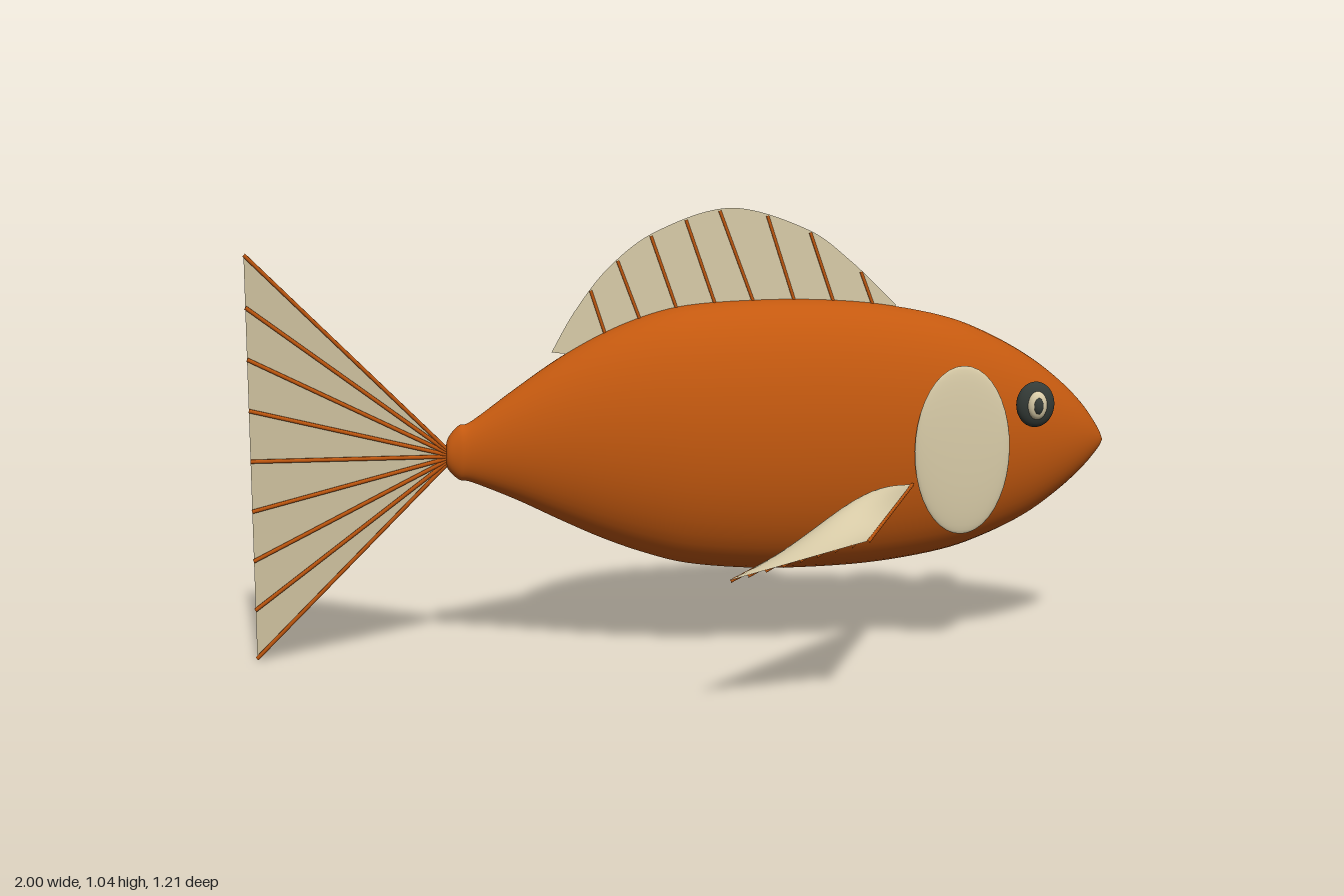
import * as THREE from 'three';

const orange = new THREE.MeshStandardMaterial({ name: 'orange', color: 0xc4590f });
const cream = new THREE.MeshStandardMaterial({ name: 'cream', color: 0xd9cca8, side: THREE.DoubleSide });
const charcoal = new THREE.MeshStandardMaterial({ name: 'charcoal', color: 0x343b37 });

const V = (x, y, z) => new THREE.Vector3(x, y, z);

function addMesh(parent, name, geometry, material) {
  const mesh = new THREE.Mesh(geometry, material);
  mesh.name = name;
  parent.add(mesh);
  return mesh;
}

// Surface from a grid of points; point(u, v) with v optionally wrapping round
function grid(rows, cols, point, wrap) {
  const pos = [], index = [];
  const n = wrap ? cols : cols + 1;
  for (let i = 0; i <= rows; i++)
    for (let j = 0; j < n; j++) pos.push(...point(i / rows, j / cols).toArray());
  for (let i = 0; i < rows; i++)
    for (let j = 0; j < cols; j++) {
      const k = (j + 1) % n;
      const a = i * n + j, b = i * n + k, c = a + n, d = b + n;
      index.push(a, b, c, b, d, c);
    }
  const g = new THREE.BufferGeometry();
  g.setAttribute('position', new THREE.Float32BufferAttribute(pos, 3));
  g.setIndex(index);
  g.computeVertexNormals();
  return g;
}

// Thin rod between two points
function ray(parent, a, b, r) {
  addMesh(parent, 'finRay', new THREE.TubeGeometry(new THREE.LineCurve3(a, b), 1, r, 6), orange);
}

function ellipsoid(parent, name, material, center, radii) {
  const mesh = addMesh(parent, name, new THREE.SphereGeometry(1, 32, 20), material);
  mesh.position.copy(center);
  mesh.scale.copy(radii);
}

// Body lofted from ellipses: x, top, bottom, half width
function bodyGeometry() {
  const sections = [
    [-0.56, 0.485, 0.475, 0.003], [-0.555, 0.52, 0.45, 0.02], [-0.53, 0.55, 0.425, 0.03],
    [-0.5, 0.56, 0.418, 0.036], [-0.4, 0.632, 0.375, 0.065], [-0.3, 0.7, 0.325, 0.092],
    [-0.2, 0.755, 0.278, 0.116], [-0.1, 0.795, 0.24, 0.134], [0, 0.818, 0.213, 0.145],
    [0.15, 0.827, 0.197, 0.15], [0.3, 0.826, 0.195, 0.149], [0.45, 0.813, 0.203, 0.145],
    [0.6, 0.783, 0.226, 0.135], [0.7, 0.745, 0.257, 0.122], [0.8, 0.69, 0.303, 0.102],
    [0.88, 0.63, 0.358, 0.077], [0.94, 0.57, 0.41, 0.05], [0.98, 0.513, 0.455, 0.023],
    [0.995, 0.482, 0.478, 0.002]];
  const outline = new THREE.CatmullRomCurve3(sections.map(s => V(s[0], s[1], s[2])), false, 'catmullrom');
  const width = new THREE.CatmullRomCurve3(sections.map(s => V(s[0], s[3], 0)), false, 'catmullrom');
  return grid(90, 48, (u, v) => {
    const o = outline.getPoint(u), w = width.getPoint(u).y, a = v * Math.PI * 2;
    return V(o.x, (o.y + o.z) / 2 + (o.y - o.z) / 2 * Math.cos(a), w * Math.sin(a));
  }, true);
}

// Upright back fin with slanted rays
function dorsalFin() {
  const g = new THREE.Group();
  g.name = 'dorsalFin';
  const top = new THREE.SplineCurve([[-0.315, 0.715], [-0.26, 0.81], [-0.18, 0.91], [-0.07, 0.99], [0.1, 1.04],
    [0.275, 0.99], [0.38, 0.915], [0.49, 0.81]].map(p => new THREE.Vector2(...p)));
  const edge = top.getPoints(80);
  const shape = new THREE.Shape([...edge, new THREE.Vector2(0.4, 0.7), new THREE.Vector2(-0.2, 0.7)]);
  addMesh(g, 'dorsalWeb', new THREE.ShapeGeometry(shape), cream);
  const slope = 0.37;
  for (let i = 0; i < 8; i++) {
    // each ray ends where its slanted line meets the fin edge
    const foot = -0.19 + i * 0.0925;
    const end = edge.find(p => p.x + slope * (p.y - 0.75) >= foot);
    ray(g, V(foot, 0.75, 0), V(end.x, end.y - 0.004, 0), 0.004);
  }
  return g;
}

// Slightly twisted tail fan
function tailFin() {
  const g = new THREE.Group();
  g.name = 'tailFin';
  const root = V(-0.54, 0.48, 0);
  const tip = t => V(-1, 0.005 + 0.95 * t, 0.06 * (2 * t - 1));
  addMesh(g, 'tailWeb', grid(1, 8, (u, v) => root.clone().lerp(tip(v), u)), cream);
  for (let i = 0; i <= 8; i++) {
    const end = tip(i / 8);
    end.z += 0.004;
    ray(g, root.clone().add(V(0, 0, 0.004)), end, 0.005);
  }
  return g;
}

// Side fin: arched web over a fan of straight rays
function pectoralFin(side) {
  const g = new THREE.Group();
  g.name = side > 0 ? 'leftPectoralFin' : 'rightPectoralFin';
  const root = V(0.5, 0.412, 0.145 * side);
  const tip = t => V(0.295 * t, 0.31 + 0.075 * t, 0.6 * side);
  addMesh(g, 'pectoralWeb', grid(16, 16, (u, v) => {
    const p = root.clone().lerp(tip(v), u);
    p.y += 0.05 * Math.sin(Math.PI * u) * Math.sin(Math.PI * v);
    return p;
  }), cream);
  for (let i = 0; i <= 8; i++) {
    const end = tip(i / 8);
    end.y -= 0.003;
    ray(g, root, end, 0.004);
  }
  return g;
}

export function createModel() {
  const fish = new THREE.Group();
  fish.name = 'fish';
  addMesh(fish, 'body', bodyGeometry(), orange);
  fish.add(dorsalFin(), tailFin());
  for (const side of [1, -1]) {
    fish.add(pectoralFin(side));
    // Gill cover
    ellipsoid(fish, 'gillCover', cream, V(0.615, 0.49, 0.15 * side), V(0.112, 0.196, 0.014));
    // Eye: dark ball, pale iris, dark pupil
    const eye = new THREE.Group();
    eye.name = side > 0 ? 'leftEye' : 'rightEye';
    ellipsoid(eye, 'eyeball', charcoal, V(0.79, 0.59, 0.134 * side), V(0.045, 0.053, 0.022));
    ellipsoid(eye, 'iris', cream, V(0.79, 0.59, 0.15 * side), V(0.023, 0.033, 0.016));
    ellipsoid(eye, 'pupil', charcoal, V(0.79, 0.59, 0.16 * side), V(0.012, 0.02, 0.01));
    fish.add(eye);
  }
  return fish;
}
